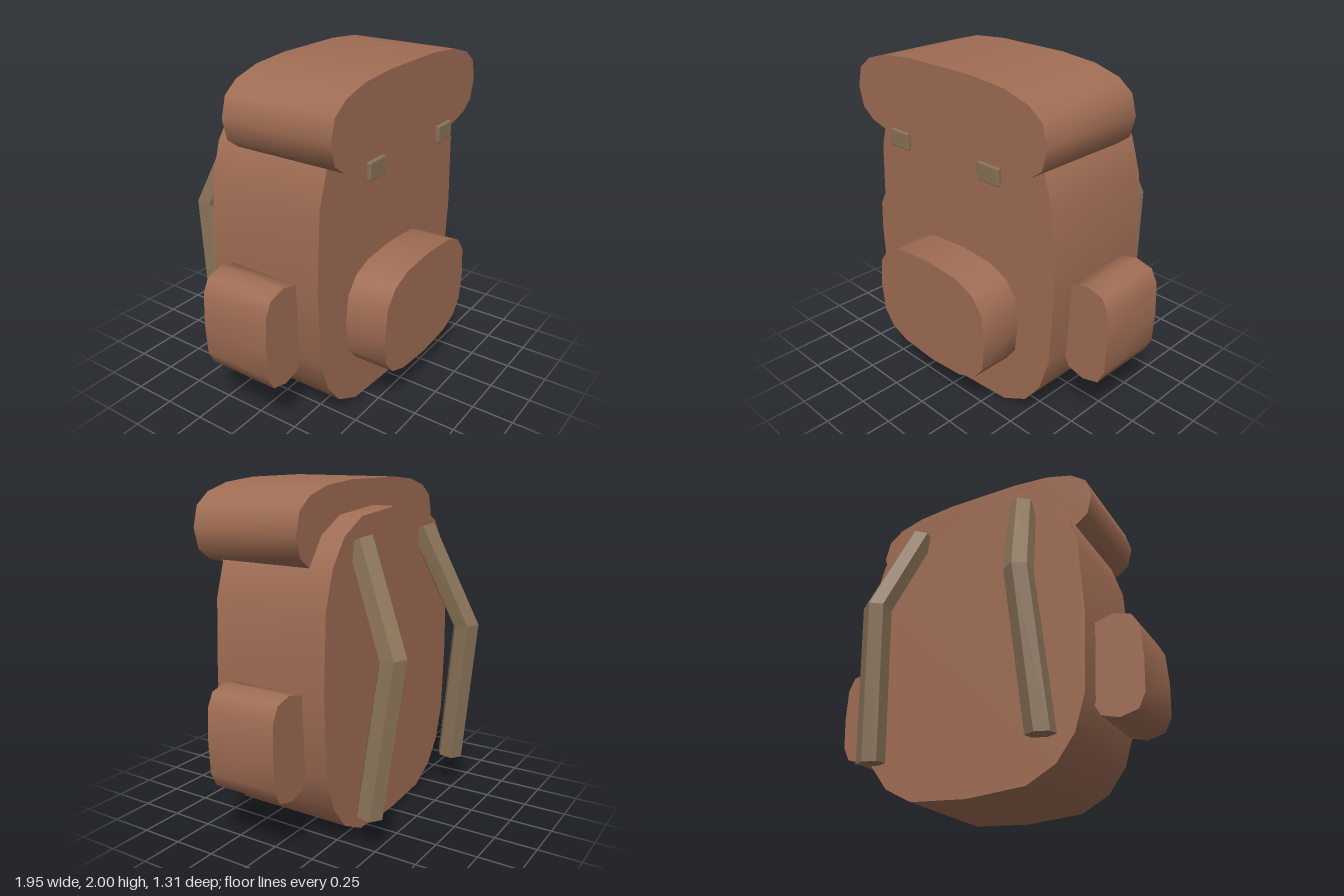
import * as THREE from 'three';
import { toCreasedNormals } from 'three/addons/utils/BufferGeometryUtils.js';
import { RoundedBoxGeometry } from 'three/addons/geometries/RoundedBoxGeometry.js';

const canvas = new THREE.MeshStandardMaterial({ name: 'brown canvas', color: 0xa06d54 });
const webbing = new THREE.MeshStandardMaterial({ name: 'tan webbing', color: 0x8a7358 });

// Mirrors a right-hand outline (listed bottom to top) about x = cx and extrudes it from z0 to z1.
function pouch(name, half, z0, z1, cx = 0) {
  const left = half.filter(([x]) => x > 0).reverse().map(([x, y]) => [-x, y]);
  const outline = [...half, ...left].map(([x, y]) => new THREE.Vector2(cx + x, y));
  const flat = new THREE.ExtrudeGeometry(new THREE.Shape(outline), { depth: z1 - z0, bevelEnabled: false });
  flat.translate(0, 0, z0);
  const mesh = new THREE.Mesh(toCreasedNormals(flat, 1.05), canvas);
  mesh.name = name;
  return mesh;
}

// Six-sided bar swept along points, mitred at the bends, with one ridge facing backwards.
function hexBar(path, radius) {
  const normals = path.slice(1).map((p, i) => {
    const d = p.clone().sub(path[i]);
    return new THREE.Vector3(0, -d.z, d.y).normalize();
  });
  const positions = [], index = [];
  path.forEach((p, i) => {
    const a = normals[Math.max(i - 1, 0)], b = normals[Math.min(i, normals.length - 1)];
    const n = a.clone().add(b).normalize();
    n.divideScalar(n.dot(a));
    for (let j = 0; j < 6; j++) {
      const t = Math.PI / 6 + j * Math.PI / 3;
      const v = p.clone().addScaledVector(n, radius * Math.sin(t));
      positions.push(v.x + radius * Math.cos(t), v.y, v.z);
    }
  });
  const last = (path.length - 1) * 6;
  for (let i = 0; i < last; i += 6) {
    for (let j = 0; j < 6; j++) {
      const k = (j + 1) % 6;
      index.push(i + j, i + 6 + j, i + 6 + k, i + j, i + 6 + k, i + k);
    }
  }
  for (let j = 1; j < 5; j++) index.push(0, j, j + 1, last, last + j + 1, last + j);
  const geometry = new THREE.BufferGeometry();
  geometry.setAttribute('position', new THREE.Float32BufferAttribute(positions, 3));
  geometry.setIndex(index);
  const faceted = geometry.toNonIndexed();
  faceted.computeVertexNormals();
  return faceted;
}

export function createModel() {
  const pack = new THREE.Group();
  pack.name = 'backpack';

  // Main bag
  pack.add(pouch('mainBag', [
    [0, 0.005], [0.35, 0.03], [0.52, 0.12], [0.63, 0.265], [0.695, 0.47], [0.718, 0.92],
    [0.695, 1.37], [0.63, 1.58], [0.52, 1.73], [0.35, 1.82], [0, 1.85],
  ], -0.315, 0.4));

  // Overhanging lid
  pack.add(pouch('lid', [
    [0.23, 1.5], [0.46, 1.525], [0.63, 1.57], [0.712, 1.63], [0.743, 1.75],
    [0.71, 1.868], [0.62, 1.935], [0.46, 1.98], [0.23, 2],
  ], -0.175, 0.503));

  // Front pocket
  pack.add(pouch('frontPocket', [
    [0, 0.265], [0.24, 0.283], [0.365, 0.33], [0.435, 0.42], [0.457, 0.6],
    [0.435, 0.77], [0.365, 0.86], [0.24, 0.912], [0, 0.928],
  ], 0.39, 0.655));

  for (const side of [-1, 1]) {
    const prefix = side > 0 ? 'left' : 'right';

    // Side pocket
    pack.add(pouch(prefix + 'SidePocket', [
      [0, 0.355], [0.103, 0.383], [0.143, 0.465], [0.153, 0.65],
      [0.143, 0.84], [0.103, 0.918], [0, 0.945],
    ], -0.175, 0.257, side * 0.82));

    // Buckle on the lid's lower edge
    const buckle = new THREE.Mesh(new RoundedBoxGeometry(0.152, 0.1, 0.03, 1, 0.008), webbing);
    buckle.position.set(side * 0.36, 1.52, 0.513);
    buckle.name = prefix + 'Buckle';
    pack.add(buckle);

    // Shoulder strap
    const path = [[0.36, 1.7, -0.312], [0.46, 1.11, -0.573], [0.515, 0.228, -0.472]]
      .map(([x, y, z]) => new THREE.Vector3(side * x, y, z));
    const strap = new THREE.Mesh(hexBar(path, 0.08), webbing);
    strap.name = prefix + 'ShoulderStrap';
    pack.add(strap);
  }

  return pack;
}
